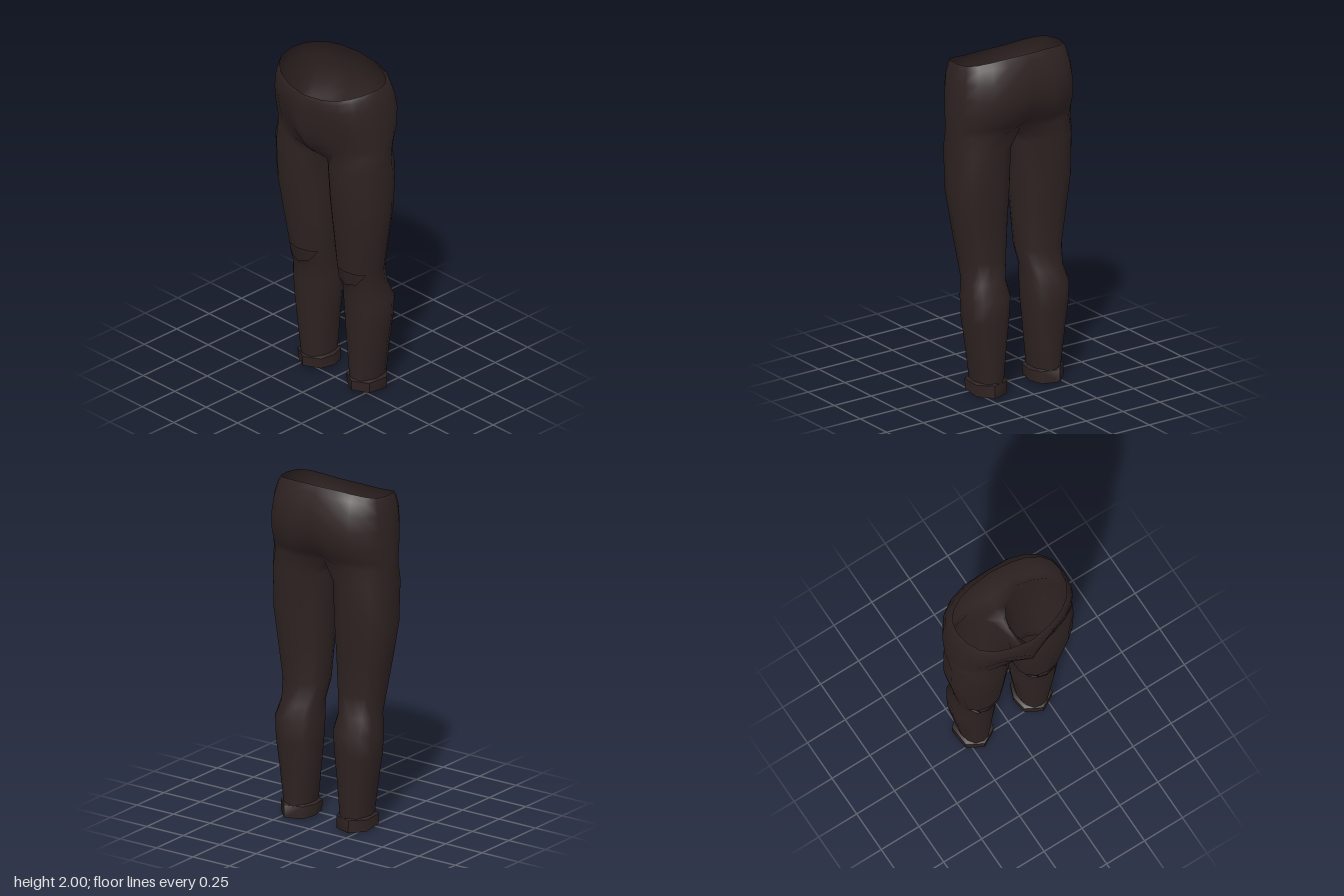
import * as THREE from 'three';
import { mergeVertices, toCreasedNormals } from 'three/addons/utils/BufferGeometryUtils.js';

const N = 14; // points round a leg: 0-10 front, outside, back; 11-13 inner thigh
const RAD = Math.PI / 180;
const soft = (v, p) => Math.sign(v) * Math.abs(v) ** p;

// Half outline of the hips, from the front seam round the left side to the back seam
function hipRow([y, a, zf, zFrontSeam, zb, zBackSeam, yf, yb]) {
  const row = [];
  for (let i = 0; i <= 10; i++) {
    const t = i * 18 * RAD, c = Math.cos(t);
    const x = i % 10 === 0 ? 0 : a * soft(Math.sin(t), 0.82);
    let z = (c > 0 ? zf : -zb) * soft(c, 0.82);
    if (i === 0) z = zFrontSeam;
    if (i === 10) z = zBackSeam;
    row.push([x, y + (c > 0 ? yf : yb) * c * c, z]);
  }
  return row;
}

// Closed outline of the left leg
function legRow([y, xin, xout, zf, zb], tilt = 0) {
  const row = [];
  for (let i = 0; i < N; i++) {
    const t = (i <= 10 ? -56 + 28 * i : 224 + 20 * (i - 10)) * RAD;
    const z = (zf + zb) / 2 + (zf - zb) / 2 * soft(Math.cos(t), 0.9);
    row.push([(xin + xout) / 2 + (xout - xin) / 2 * soft(Math.sin(t), 0.9), y + z * tilt, z]);
  }
  return row;
}

// Skins successive rows, top to bottom
function skin(out, rows, closed) {
  for (let r = 0; r < rows.length - 1; r++) {
    const A = rows[r], B = rows[r + 1], n = A.length;
    for (let i = 0; i < (closed ? n : n - 1); i++) {
      const j = (i + 1) % n;
      out.push([A[i], B[i], A[j]], [A[j], B[i], B[j]]);
    }
  }
}

function toGeometry(tris, mirrored) {
  const pos = [];
  for (const [a, b, c] of tris) {
    pos.push(...a, ...b, ...c);
    if (mirrored) for (const [x, y, z] of [a, c, b]) pos.push(x === 0 ? 0 : -x, y, z);
  }
  const g = new THREE.BufferGeometry();
  g.setAttribute('position', new THREE.Float32BufferAttribute(pos, 3));
  return g;
}

export function createModel() {
  const group = new THREE.Group();
  group.name = 'trousers';
  const cloth = new THREE.MeshStandardMaterial({ color: 0x2e2222, side: THREE.DoubleSide });
  cloth.name = 'dark brown cloth';

  // Hips: height, half width, front, front seam, back, back seam, front and back lift
  const hips = [
    [1.96, 0.34, 0.235, 0.245, -0.175, -0.18, -0.07, 0.04],
    [1.935, 0.352, 0.245, 0.255, -0.215, -0.21, -0.065, 0.03],
    [1.87, 0.37, 0.248, 0.26, -0.247, -0.24, -0.04, 0],
    [1.78, 0.38, 0.24, 0.26, -0.265, -0.252, 0, 0],
    [1.68, 0.388, 0.215, 0.26, -0.25, -0.23, 0, 0],
    [1.6, 0.39, 0.19, 0.25, -0.21, -0.175, 0, 0],
    [1.55, 0.392, 0.182, 0.2, -0.185, -0.12, -0.02, 0],
  ].map(hipRow);

  // Crotch: the last hip row, closed along the centre line
  const crotch = [...hips[hips.length - 1], [0, 1.51, -0.05], [0, 1.5, 0.02], [0, 1.505, 0.11]];

  // Thigh: height, inner x, outer x, front z, back z
  const thigh = [
    [1.45, 0.022, 0.391, 0.18, -0.18],
    [1.2, 0.03, 0.39, 0.163, -0.17],
    [1.0, 0.043, 0.36, 0.138, -0.155],
    [0.79, 0.055, 0.325, 0.112, -0.145],
  ].map((r) => legRow(r));

  // Torn knee: the front of the lower edge sags away from the thigh
  const tornEdge = thigh[3].map((p, i) =>
    i >= 1 && i <= 3 ? [p[0], i === 2 ? 0.705 : 0.725, p[2] - 0.01] : p);
  const shin = [
    [0.67, 0.077, 0.315, 0.083, -0.165],
    [0.58, 0.066, 0.335, 0.076, -0.208],
    [0.45, 0.072, 0.33, 0.068, -0.2],
    [0.3, 0.088, 0.306, 0.06, -0.19],
    [0.07, 0.11, 0.275, 0.045, -0.177],
  ].map((r) => legRow(r));

  const body = [];
  skin(body, hips, false);
  skin(body, [crotch, ...thigh], true);
  skin(body, [tornEdge, ...shin], true);
  const bodyGeo = mergeVertices(toGeometry(body, true), 1e-4);
  bodyGeo.computeVertexNormals();
  const bodyMesh = new THREE.Mesh(bodyGeo, cloth);
  bodyMesh.name = 'hipsAndLegs';
  group.add(bodyMesh);

  // Cuffs: seven-sided turned-up hems, folded inward at the bottom
  const cuffRows = [
    [0.09, 0.112, 0.273, 0.043, -0.175, 0],
    [0.08, 0.085, 0.303, 0.062, -0.19, 0],
    [0.018, 0.088, 0.3, 0.06, -0.192, 0.06],
    [0.012, 0.118, 0.266, 0.022, -0.152, 0.06],
    [0.06, 0.118, 0.266, 0.022, -0.152, 0],
  ].map((r) => legRow(r, r[5]).filter((_, i) => i % 2 === 0));
  const cuff = [];
  skin(cuff, cuffRows, true);
  const cuffMesh = new THREE.Mesh(toCreasedNormals(toGeometry(cuff, true), 0.95), cloth);
  cuffMesh.name = 'cuffs';
  group.add(cuffMesh);

  return group;
}
